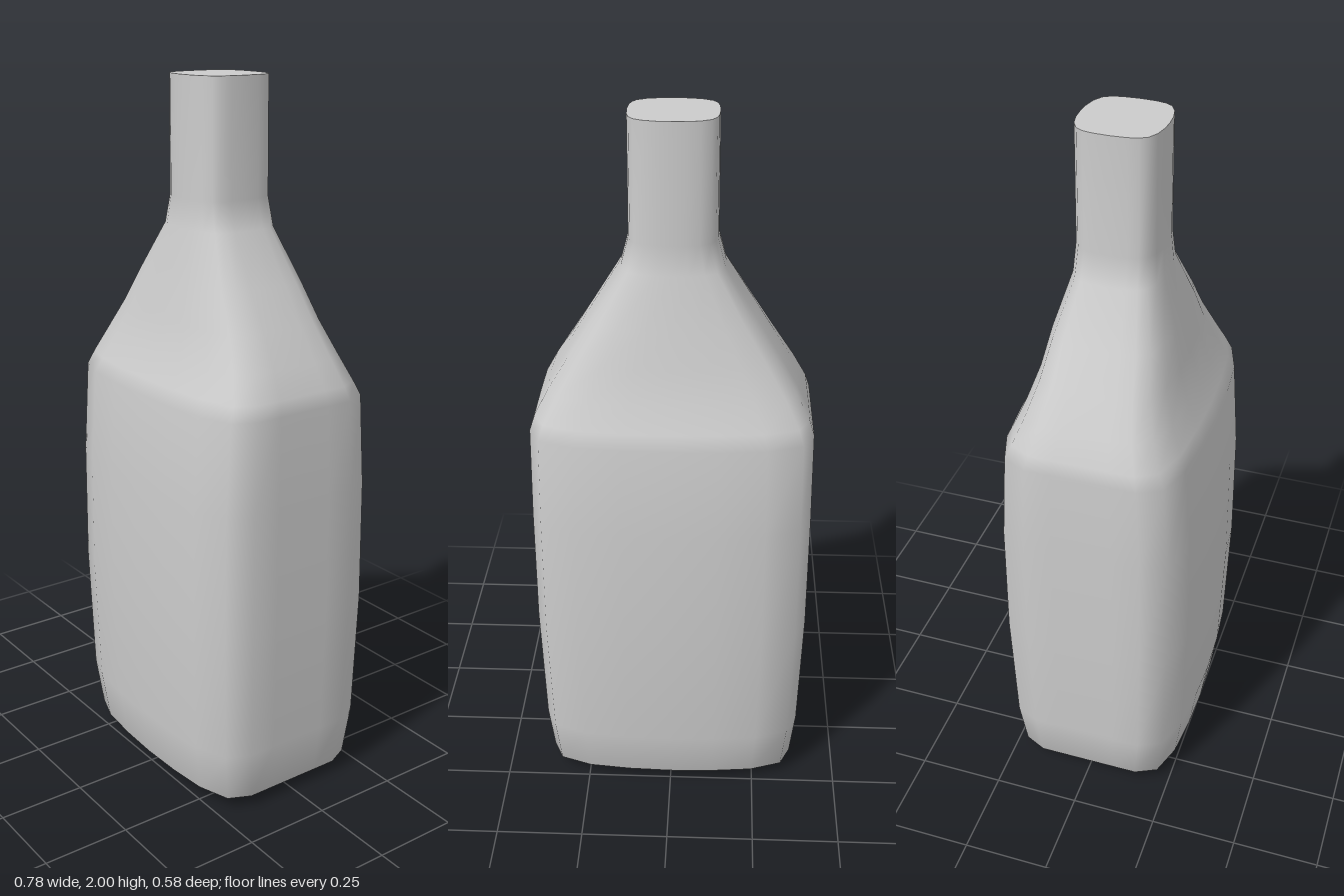
import * as THREE from 'three';

// Quarter outlines from +x round to +z, in half-widths
const BODY = [[1, 0], [1, 0.3], [1, 0.58], [0.92, 0.82], [0.67, 0.94], [0.34, 0.985], [0, 1]];
const NECK = [[1, 0], [0.98, 0.38], [0.93, 0.62], [0.83, 0.79], [0.6, 0.92], [0.3, 0.985], [0, 1]];

// Levels: height, half-width, half-depth, blend from body to neck outline
const LEVELS = [
  [0, 0.25, 0.18, 0], [0.012, 0.325, 0.232, 0], [0.035, 0.367, 0.26, 0],
  [0.18, 0.382, 0.281, 0], [0.55, 0.392, 0.292, 0], [0.9, 0.391, 0.288, 0],
  [1.16, 0.388, 0.268, 0], [1.2, 0.376, 0.248, 0.05], [1.27, 0.341, 0.217, 0.15],
  [1.36, 0.288, 0.186, 0.35], [1.46, 0.227, 0.165, 0.6], [1.6, 0.141, 0.123, 0.95],
  [1.68, 0.12, 0.117, 1], [2, 0.119, 0.115, 1],
];

// Mirror a quarter outline into a closed one
function fullOutline(q) {
  const half = [...q, ...q.slice(0, -1).reverse().map(([x, z]) => [-x, z])];
  return [...half, ...half.slice(1, -1).reverse().map(([x, z]) => [x, -z])];
}

function ring([y, w, d, t]) {
  const quarter = BODY.map(([x, z], i) => [
    w * THREE.MathUtils.lerp(x, NECK[i][0], t),
    d * THREE.MathUtils.lerp(z, NECK[i][1], t),
  ]);
  return fullOutline(quarter).map(([x, z]) => [x, y, z]);
}

function meshFrom(name, points, index) {
  const g = new THREE.BufferGeometry();
  g.setAttribute('position', new THREE.Float32BufferAttribute(points.flat(), 3));
  g.setIndex(index);
  g.computeVertexNormals();
  const mesh = new THREE.Mesh(g, new THREE.MeshStandardMaterial({ color: 0xcccccc }));
  mesh.name = name;
  return mesh;
}

export function createModel() {
  const group = new THREE.Group();
  group.name = 'bottle';

  // Smooth shell lofted through the levels, closed underneath
  const rings = LEVELS.map(ring);
  const n = rings[0].length;
  const points = rings.flat();
  const index = [];
  for (let i = 0; i < rings.length - 1; i++) {
    for (let j = 0; j < n; j++) {
      const a = i * n + j, b = i * n + (j + 1) % n;
      index.push(a, a + n, b, b, a + n, b + n);
    }
  }
  const centre = points.push([0, 0, 0]) - 1;
  for (let j = 0; j < n; j++) index.push(centre, j, (j + 1) % n);
  group.add(meshFrom('bottleBody', points, index));

  // Flat top of the neck with a sharp rim
  const top = [...rings[rings.length - 1], [0, 2, 0]];
  const capIndex = [];
  for (let j = 0; j < n; j++) capIndex.push(n, (j + 1) % n, j);
  group.add(meshFrom('neckTop', top, capIndex));

  return group;
}
